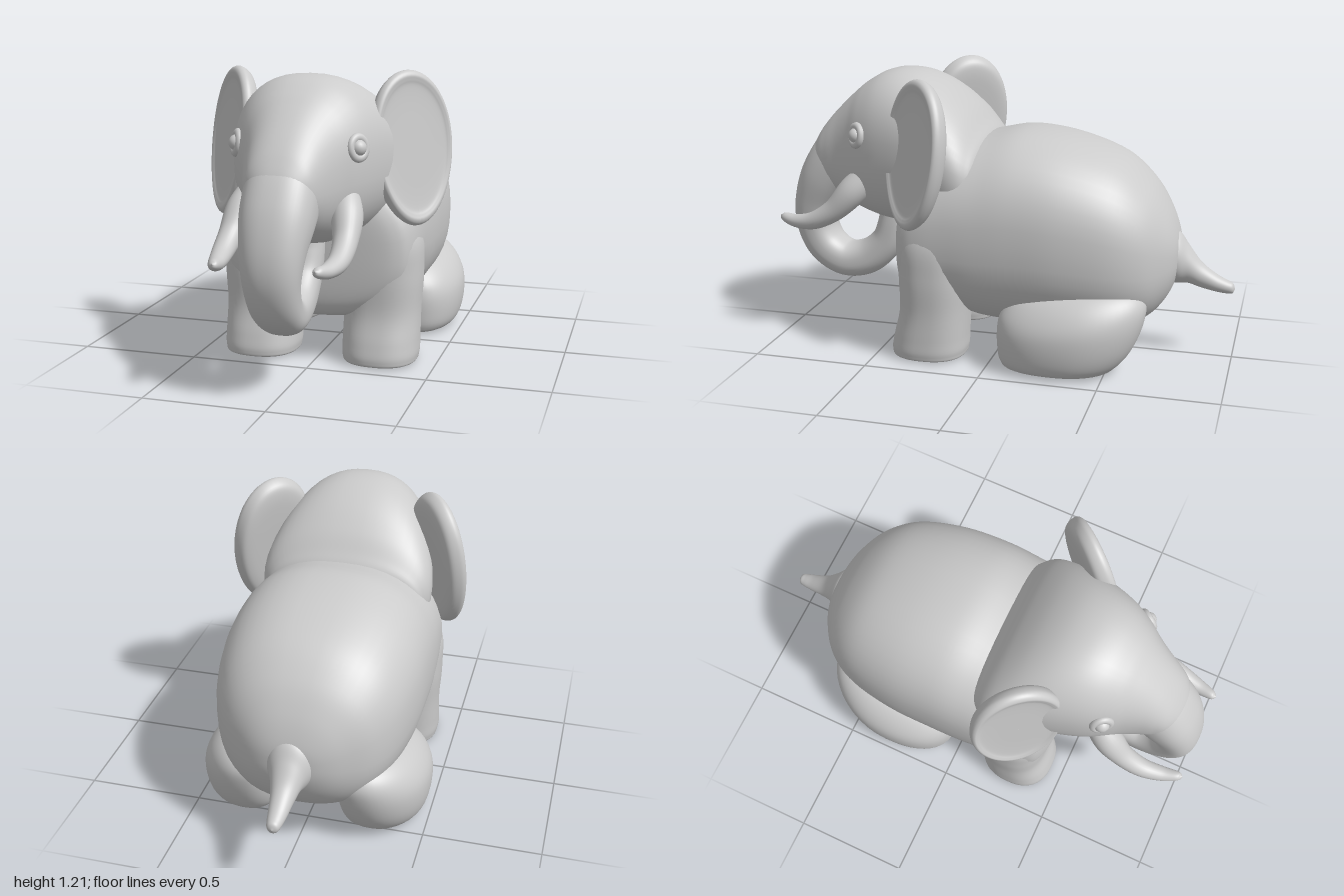
import * as THREE from 'three';

const material = new THREE.MeshStandardMaterial({ color: 0xcccccc });

function addMesh(parent, name, geometry) {
  const mesh = new THREE.Mesh(geometry, material);
  mesh.name = name;
  parent.add(mesh);
  return mesh;
}

// Smooth loft through rows [x, y, z, halfWidth, halfDepth].
// Each section spans the x axis and either `up` or the normal of the path in the yz plane.
function loft(rows, { power = 2, up = null, steps = 6, sides = 48 } = {}) {
  const curve = (f) => new THREE.CatmullRomCurve3(rows.map(f), false, 'catmullrom', 0.5);
  const path = curve((r) => new THREE.Vector3(r[0], r[1], r[2]));
  const size = curve((r) => new THREE.Vector3(r[3], r[4], 0));
  const rings = (rows.length - 1) * steps;
  const positions = [], index = [];
  const round = (c) => Math.sign(c) * Math.abs(c) ** (2 / power);
  for (let i = 0; i <= rings; i++) {
    const p = path.getPoint(i / rings), s = size.getPoint(i / rings), t = path.getTangent(i / rings);
    const v = up ? up : new THREE.Vector3(0, t.z, -t.y).normalize();
    for (let k = 0; k < sides; k++) {
      const angle = (k / sides) * Math.PI * 2;
      const a = Math.max(s.x, 0.001) * round(Math.cos(angle));
      const b = Math.max(s.y, 0.001) * round(Math.sin(angle));
      positions.push(p.x + a, p.y + v.y * b, p.z + v.z * b);
      if (i < rings) {
        const n = (k + 1) % sides, A = i * sides + k, B = i * sides + n;
        index.push(A, B, A + sides, B, B + sides, A + sides);
      }
    }
  }
  // Close both ends
  for (const [ring, flip] of [[0, true], [rings, false]]) {
    const c = path.getPoint(ring / rings), id = positions.length / 3;
    positions.push(c.x, c.y, c.z);
    for (let k = 0; k < sides; k++) {
      const A = ring * sides + k, B = ring * sides + ((k + 1) % sides);
      index.push(id, flip ? B : A, flip ? A : B);
    }
  }
  const g = new THREE.BufferGeometry();
  g.setAttribute('position', new THREE.Float32BufferAttribute(positions, 3));
  g.setIndex(index);
  g.computeVertexNormals();
  return g;
}

// Rows given as [z, top, bottom, halfWidth], from back to front
const UP = new THREE.Vector3(0, 1, 0);
const BACK = new THREE.Vector3(0, 0, -1);
const hull = (rows, power) =>
  loft(rows.map(([z, top, bottom, w]) => [0, (top + bottom) / 2, z, w, (top - bottom) / 2]), { power, up: UP });

// Shallow oval plate with a thick rounded rim
function earGeometry() {
  const profile = [[0.001, -0.06], [0.5, -0.06], [0.78, -0.056], [0.93, -0.042], [1, -0.008], [0.985, 0.014],
    [0.93, 0.024], [0.87, 0.021], [0.78, 0.015], [0.5, 0.012], [0.001, 0.012]];
  const spline = new THREE.SplineCurve(profile.map(([r, h]) => new THREE.Vector2(r, h)));
  const g = new THREE.LatheGeometry(spline.getPoints(50), 64);
  g.rotateX(Math.PI / 2);
  g.scale(0.195, 0.313, 1);
  // Narrower towards the lower end
  const p = g.attributes.position;
  for (let i = 0; i < p.count; i++) p.setX(i, p.getX(i) * (1 + 0.3 * p.getY(i)));
  g.computeVertexNormals();
  return g;
}

function hindLegGeometry(s) {
  const g = loft([
    [s * 0.3, 0.008, -0.29, 0.001, 0.001], [s * 0.3, 0.008, -0.29, 0.12, 0.2],
    [s * 0.305, 0.035, -0.3, 0.165, 0.25], [s * 0.312, 0.11, -0.325, 0.18, 0.285],
    [s * 0.312, 0.2, -0.345, 0.18, 0.305], [s * 0.303, 0.27, -0.355, 0.16, 0.3],
    [s * 0.288, 0.325, -0.36, 0.125, 0.25], [s * 0.28, 0.355, -0.36, 0.07, 0.14], [s * 0.28, 0.36, -0.36, 0.001, 0.001],
  ], { power: 2.3, up: BACK });
  // Raise the thigh slightly and round it inwards at the back
  const p = g.attributes.position;
  for (let i = 0; i < p.count; i++) {
    const z = p.getZ(i), k = THREE.MathUtils.smoothstep(p.getY(i), 0.06, 0.3);
    p.setX(i, p.getX(i) - s * 0.45 * Math.max(0, -0.3 - z) ** 2);
    p.setY(i, p.getY(i) + 0.1 * k * (-0.33 - z));
  }
  g.computeVertexNormals();
  return g;
}

export function createModel() {
  const model = new THREE.Group();
  model.name = 'elephant';

  addMesh(model, 'body', hull([
    [-0.77, 0.46, 0.45, 0.001], [-0.755, 0.55, 0.36, 0.12], [-0.71, 0.66, 0.26, 0.22],
    [-0.63, 0.775, 0.18, 0.32], [-0.5, 0.88, 0.14, 0.39], [-0.3, 0.95, 0.13, 0.43],
    [-0.1, 0.975, 0.13, 0.437], [0.05, 0.95, 0.14, 0.434], [0.17, 0.92, 0.17, 0.427],
    [0.28, 0.87, 0.18, 0.418], [0.35, 0.81, 0.19, 0.4], [0.395, 0.75, 0.22, 0.36],
    [0.42, 0.68, 0.3, 0.26], [0.43, 0.53, 0.52, 0.001],
  ], 2.4));

  addMesh(model, 'head', hull([
    [0.02, 0.84, 0.7, 0.05], [0.06, 0.93, 0.6, 0.3], [0.1, 0.985, 0.57, 0.36], [0.16, 1.06, 0.55, 0.38],
    [0.25, 1.14, 0.54, 0.368], [0.35, 1.193, 0.53, 0.345], [0.45, 1.21, 0.53, 0.318],
    [0.54, 1.195, 0.54, 0.287], [0.62, 1.152, 0.56, 0.247], [0.68, 1.105, 0.58, 0.207], [0.74, 1.05, 0.605, 0.176],
    [0.8, 0.988, 0.64, 0.152], [0.85, 0.925, 0.68, 0.125], [0.89, 0.855, 0.73, 0.07], [0.9, 0.79, 0.77, 0.001],
  ], 2.3));

  addMesh(model, 'trunk', loft([
    [0, 0.96, 0.55, 0.1, 0.08], [0, 0.9, 0.64, 0.13, 0.12], [0, 0.81, 0.745, 0.145, 0.145],
    [0, 0.7, 0.84, 0.143, 0.126], [0, 0.58, 0.9, 0.125, 0.1], [0, 0.47, 0.91, 0.11, 0.086],
    [0, 0.37, 0.865, 0.1, 0.083], [0, 0.312, 0.77, 0.092, 0.081], [0, 0.33, 0.66, 0.087, 0.08],
    [0, 0.41, 0.57, 0.085, 0.073], [0, 0.51, 0.53, 0.085, 0.072], [0, 0.6, 0.52, 0.08, 0.07],
  ], { power: 2.4, steps: 8 }));

  addMesh(model, 'tail', loft([
    [0, 0.315, -1, 0.002, 0.002], [0, 0.317, -0.99, 0.022, 0.022], [0, 0.322, -0.965, 0.031, 0.029],
    [0, 0.336, -0.92, 0.039, 0.038], [0, 0.367, -0.855, 0.05, 0.055], [0, 0.41, -0.8, 0.068, 0.082],
    [0, 0.44, -0.75, 0.095, 0.115], [0, 0.45, -0.68, 0.1, 0.11],
  ], { up: UP }));

  const ear = earGeometry();
  for (const [side, s] of [['left', 1], ['right', -1]]) {
    addMesh(model, side + 'FrontLeg', loft([
      [s * 0.26, 0.005, 0.28, 0.001, 0.001], [s * 0.26, 0.005, 0.28, 0.135, 0.14],
      [s * 0.26, 0.03, 0.28, 0.158, 0.163], [s * 0.26, 0.1, 0.272, 0.16, 0.16],
      [s * 0.26, 0.22, 0.255, 0.16, 0.15], [s * 0.26, 0.38, 0.25, 0.168, 0.157],
      [s * 0.25, 0.55, 0.25, 0.165, 0.152], [s * 0.23, 0.72, 0.24, 0.08, 0.08],
    ], { power: 2.4, up: BACK }));

    addMesh(model, side + 'HindLeg', hindLegGeometry(s));

    addMesh(model, side + 'Tusk', loft([
      [s * 0.195, 0.78, 0.56, 0.04, 0.05], [s * 0.213, 0.695, 0.64, 0.064, 0.064],
      [s * 0.23, 0.605, 0.725, 0.05, 0.05], [s * 0.232, 0.55, 0.82, 0.042, 0.04],
      [s * 0.218, 0.535, 0.91, 0.034, 0.03], [s * 0.202, 0.545, 0.98, 0.021, 0.02],
      [s * 0.198, 0.552, 1, 0.002, 0.002],
    ], { sides: 28 }));

    const earMesh = addMesh(model, side + 'Ear', ear);
    earMesh.position.set(s * 0.39, 0.906, 0.303);
    earMesh.rotation.set(-0.13, s * 0.87, 0, 'YXZ');

    // Eyeball inside a soft lid ring
    const eye = new THREE.Group();
    eye.name = side + 'Eye';
    addMesh(eye, 'eyeball', new THREE.SphereGeometry(0.033, 24, 16));
    addMesh(eye, 'eyelid', new THREE.TorusGeometry(0.036, 0.016, 12, 32)).scale.set(1, 1.1, 1);
    eye.position.set(s * 0.247, 0.945, 0.607);
    eye.rotation.set(-0.15, s * 0.95, 0, 'YXZ');
    model.add(eye);
  }
  return model;
}
